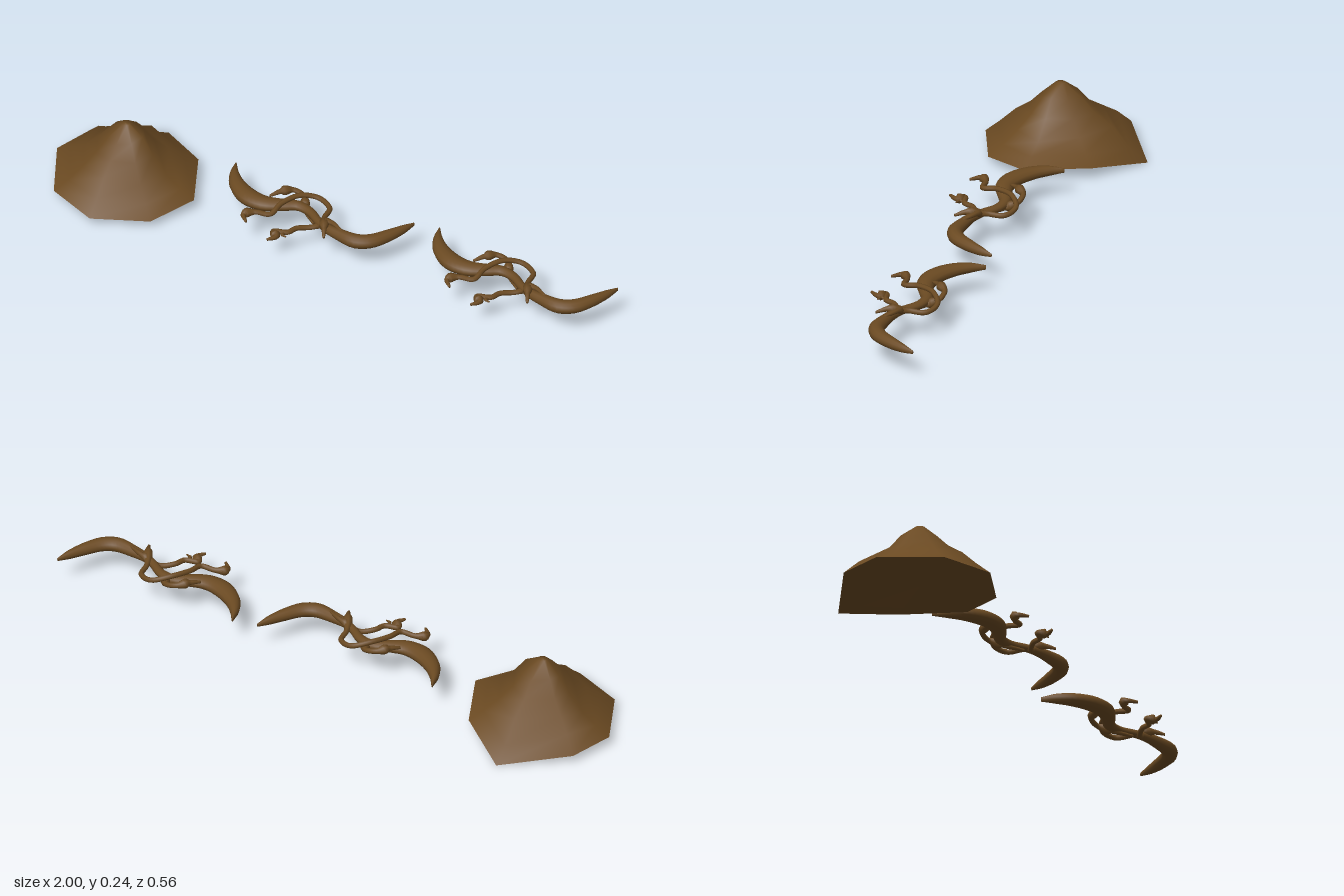
import * as THREE from 'three';

const wood = new THREE.MeshStandardMaterial({ color: 0x6b4a22 });
wood.name = 'earthy brown';

// Skin a list of closed rings (arrays of Vector3, equal length) with smooth normals
function skin(rings) {
  const n = rings[0].length, index = [];
  const positions = rings.flat().flatMap(p => [p.x, p.y, p.z]);
  for (let r = 0; r < rings.length - 1; r++) {
    for (let i = 0; i < n; i++) {
      const a = r * n + i, b = r * n + (i + 1) % n;
      index.push(a, b, b + n, a, b + n, a + n);
    }
  }
  const g = new THREE.BufferGeometry();
  g.setAttribute('position', new THREE.Float32BufferAttribute(positions, 3));
  g.setIndex(index);
  g.computeVertexNormals();
  return g;
}

function part(name, geometry) {
  const m = new THREE.Mesh(geometry, wood);
  m.name = name;
  return m;
}

// Sweep an oval along a path; stations are [x, y, z, halfWidth, halfHeight]
function sweep(stations, steps, sides) {
  const path = new THREE.CatmullRomCurve3(stations.map(s => new THREE.Vector3(s[0], s[1], s[2])));
  const size = new THREE.CatmullRomCurve3(stations.map(s => new THREE.Vector3(s[3], s[4], 0)));
  const rings = [];
  for (let k = 0; k <= steps; k++) {
    const t = k / steps, p = path.getPoint(t), d = path.getTangent(t), s = size.getPoint(t);
    const side = new THREE.Vector3(d.z, 0, -d.x).normalize();
    const ring = [];
    for (let i = 0; i < sides; i++) {
      const a = i / sides * Math.PI * 2;
      const q = p.clone().addScaledVector(side, Math.cos(a) * s.x);
      q.y += Math.sin(a) * s.y;
      ring.push(q);
    }
    // close both ends
    const cap = Array.from({ length: sides }, () => p.clone());
    if (k === 0) rings.push(cap);
    rings.push(ring);
    if (k === steps) rings.push(cap);
  }
  return skin(rings);
}

// Eight-cornered mound with an uneven rim and a dished underside
function createMound() {
  const g = new THREE.Group();
  g.name = 'mound';
  const cx = -0.74, cz = 0.02;
  const fractions = [0.8, 0.6, 0.4, 0.25, 0.06];
  // rim x, y, z, then the height at each fraction of the way out
  const spokes = [
    [-0.735, 0.025, 0.275, 0.07, 0.12, 0.155, 0.195, 0.24],
    [-0.553, 0.027, 0.20, 0.06, 0.10, 0.15, 0.20, 0.24],
    [-0.473, 0.042, 0.05, 0.065, 0.095, 0.155, 0.21, 0.24],
    [-0.564, 0.04, -0.152, 0.07, 0.105, 0.15, 0.20, 0.24],
    [-0.74, 0.0, -0.28, 0.04, 0.11, 0.148, 0.195, 0.24],
    [-0.95, 0.03, -0.147, 0.08, 0.115, 0.15, 0.20, 0.24],
    [-1.0, 0.033, 0.0, 0.06, 0.088, 0.145, 0.195, 0.24],
    [-0.906, 0.027, 0.20, 0.06, 0.10, 0.15, 0.195, 0.24],
  ];
  const rim = spokes.map(s => new THREE.Vector3(s[0], s[1], s[2]));
  const slopes = fractions.map((f, k) => spokes.map(s =>
    new THREE.Vector3(cx + (s[0] - cx) * f, s[3 + k], cz + (s[2] - cz) * f)));
  const point = y => spokes.map(() => new THREE.Vector3(cx, y, cz));
  g.add(part('moundSlopes', skin([rim, ...slopes, point(0.242)])));
  g.add(part('moundUnderside', skin([point(0.03), rim])));
  return g;
}

// Curved wooden bow wrapped in twisting vines
function createBow(name, x) {
  const g = new THREE.Group();
  g.name = name;
  g.position.set(x, 0.1, 0);
  // x, z, half width, half height
  const limbs = [
    [-0.33, -0.115, 0.003, 0.008], [-0.31, -0.067, 0.016, 0.017], [-0.273, -0.019, 0.027, 0.021],
    [-0.214, 0.019, 0.034, 0.023], [-0.155, 0.027, 0.031, 0.022], [-0.10, 0.008, 0.024, 0.019],
    [-0.05, -0.013, 0.019, 0.016], [0, -0.003, 0.016, 0.013], [0.048, 0.03, 0.014, 0.013],
    [0.09, 0.05, 0.016, 0.016], [0.14, 0.061, 0.02, 0.02], [0.203, 0.067, 0.026, 0.023],
    [0.246, 0.045, 0.026, 0.022], [0.283, -0.008, 0.021, 0.02], [0.31, -0.06, 0.013, 0.015],
    [0.328, -0.102, 0.003, 0.006],
  ];
  g.add(part('bowLimbs', sweep(limbs.map(([px, pz, w, h]) => [px, 0, pz, w, h]), 60, 12)));

  // x, y, z of each vine
  const vines = {
    archVine: [
      [-0.155, 0.005, 0.147], [-0.18, 0.006, 0.115], [-0.15, 0.008, 0.09], [-0.10, 0.012, 0.083],
      [-0.09, 0.022, 0.03], [-0.053, 0.026, -0.035], [0, 0.012, -0.067], [0.05, 0.004, -0.045],
      [0.06, 0.006, 0.01], [0.09, 0.016, 0.07], [0.107, 0.006, 0.105],
    ],
    hookVine: [
      [-0.145, 0.015, 0.0], [-0.12, 0.022, -0.03], [-0.09, 0.018, -0.06], [-0.05, 0.008, -0.058],
      [-0.027, -0.008, -0.02], [0.03, -0.015, 0.03],
    ],
    lowerVine: [
      [-0.06, -0.012, 0.18], [-0.043, -0.013, 0.152], [-0.064, -0.013, 0.13], [-0.02, -0.012, 0.115],
      [-0.005, -0.012, 0.083], [0.037, -0.014, 0.05], [0.09, 0.016, 0.035], [0.15, 0.017, 0.06],
    ],
    leftTwig: [[-0.15, 0.008, 0.09], [-0.172, 0.01, 0.092], [-0.182, 0.013, 0.105]],
    rightTwig: [[-0.02, -0.012, 0.115], [-0.03, -0.01, 0.135], [-0.012, -0.01, 0.142]],
  };
  for (const [vine, points] of Object.entries(vines)) {
    const last = points.length - 1;
    const thick = vine.endsWith('Twig') ? 0.005 : 0.009;
    const stations = points.map((p, i) => {
      const r = i === 0 || i === last ? thick * 0.5 : thick;
      return [...p, r, r];
    });
    g.add(part(vine, sweep(stations, points.length * 5, 7)));
  }
  return g;
}

export function createModel() {
  const model = new THREE.Group();
  model.name = 'moundAndBows';
  model.add(createMound(), createBow('middleBow', -0.077), createBow('leftBow', 0.667));
  return model;
}
